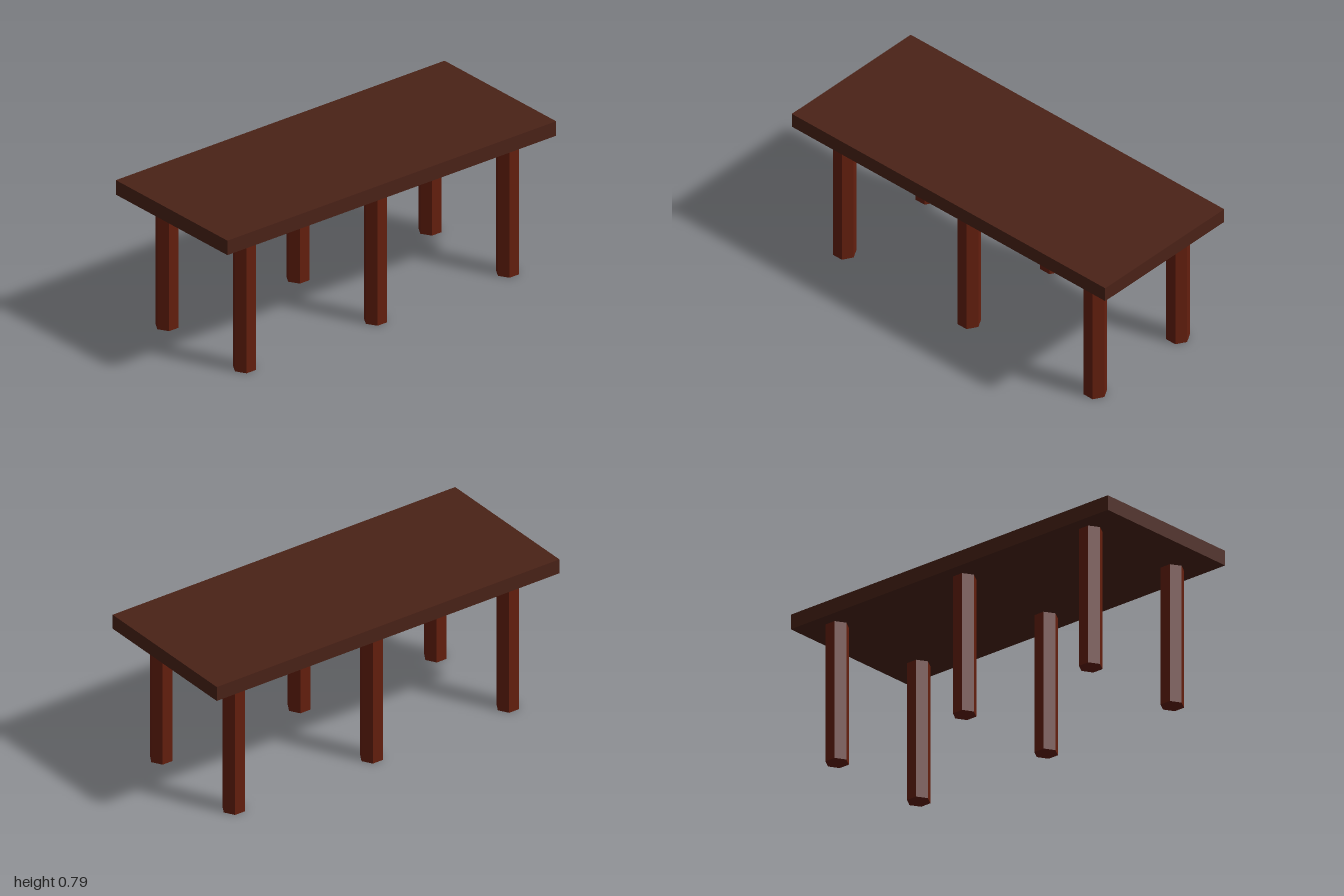
import * as THREE from 'three';

export function createModel() {
  const table = new THREE.Group();
  table.name = 'table';

  const topMaterial = new THREE.MeshStandardMaterial({ color: 0x4a2217 });
  const legMaterial = new THREE.MeshStandardMaterial({ color: 0x641f0e, flatShading: true });

  const height = 0.787;
  const thickness = 0.076;
  const legHeight = height - thickness;

  // Flat rectangular slab
  const top = new THREE.Mesh(new THREE.BoxGeometry(0.83, thickness, 2), topMaterial);
  top.name = 'tabletop';
  top.position.y = height - thickness / 2;
  table.add(top);

  // Six hexagonal legs in two rows, corners pointing along z
  const legGeometry = new THREE.CylinderGeometry(0.0583, 0.0583, legHeight, 6);
  const rows = { right: -0.296, left: 0.281 };
  const stations = { Front: 0.786, Middle: -0.01, Back: -0.814 };
  for (const [side, x] of Object.entries(rows)) {
    for (const [place, z] of Object.entries(stations)) {
      const leg = new THREE.Mesh(legGeometry, legMaterial);
      leg.name = `${side}${place}Leg`;
      leg.position.set(x, legHeight / 2, z);
      table.add(leg);
    }
  }

  return table;
}
